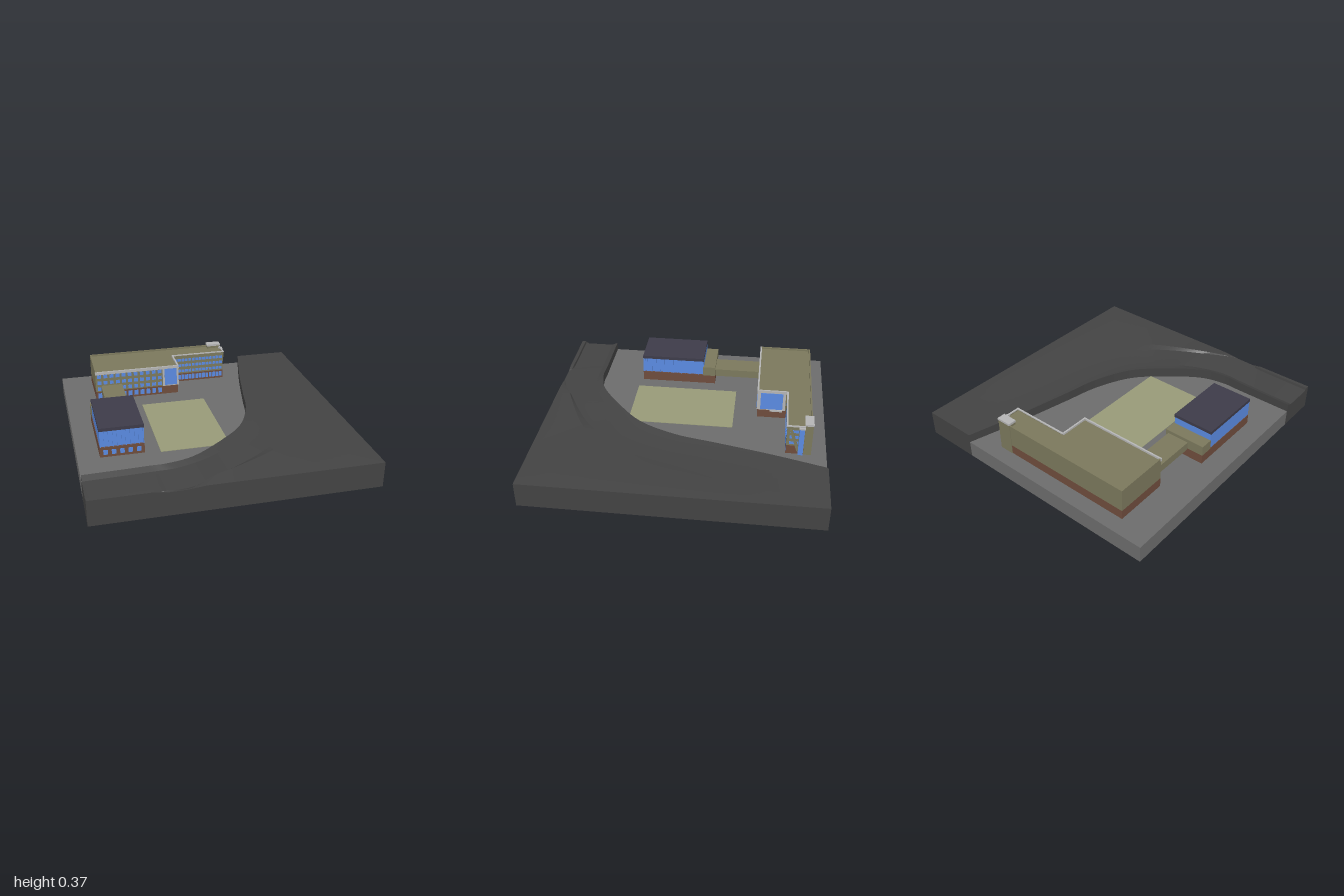
import * as THREE from 'three';
import { toCreasedNormals } from 'three/addons/utils/BufferGeometryUtils.js';

const mat = (color) => new THREE.MeshStandardMaterial({ color });
const M = {
  earth: mat(0x434343), ground: mat(0x6c6c6c), lawn: mat(0x979a78), wall: mat(0x7b785c),
  brick: mat(0x6e4c3c), glass: mat(0x5a8ae0), trim: mat(0xb4b4b4), slate: mat(0x3d3b49),
};
const GROUND = 0.12, FLOOR1 = 0.187, ROOF = 0.337, TOP = 0.35;

// Box given by its limits on each axis
function box(parent, name, material, x0, x1, y0, y1, z0, z1) {
  const m = new THREE.Mesh(new THREE.BoxGeometry(x1 - x0, y1 - y0, z1 - z0), material);
  m.position.set((x0 + x1) / 2, (y0 + y1) / 2, (z0 + z1) / 2);
  m.name = name;
  parent.add(m);
  return m;
}

// Plan outline [x, z] raised from y0 to y1
function prism(parent, name, material, outline, y0, y1) {
  const shape = new THREE.Shape(outline.map(([x, z]) => new THREE.Vector2(x, -z)));
  const geo = new THREE.ExtrudeGeometry(shape, { depth: y1 - y0, bevelEnabled: false });
  geo.rotateX(-Math.PI / 2);
  const m = new THREE.Mesh(geo, material);
  m.position.y = y0;
  m.name = name;
  parent.add(m);
}

// Rows of windows on a wall facing +z
function windowRows(parent, x0, x1, z, pitch, width, rows) {
  const n = Math.round((x1 - x0) / pitch);
  for (const [y, h] of rows) for (let i = 0; i < n; i++) {
    const x = x0 + (x1 - x0) * (i + 0.5) / n;
    box(parent, 'window', M.glass, x - width / 2, x + width / 2, y - h / 2, y + h / 2, z - 0.01, z + 0.002);
  }
}

// Plan stations across the bank: inner wall, road edge, outer road edge, plot edge, outer step
const STATIONS = [
  [-0.95, 0.70, -0.95, 0.745, -0.95, 0.97, -0.95, 1, 1],
  [-0.70, 0.70, -0.70, 0.745, -0.56, 0.97, -0.54, 1, 1],
  [-0.53, 0.70, -0.50, 0.745, -0.48, 0.985, -0.47, 1, 0],
  [-0.40, 0.70, -0.34, 0.74, -0.31, 0.985, -0.34, 1, 0],
  [-0.22, 0.65, -0.13, 0.665, -0.12, 0.89, -0.22, 1, 1],
  [0.00, 0.49, 0.06, 0.535, 0.20, 0.70, 0.45, 1, 1],
  [0.19, 0.30, 0.235, 0.36, 0.43, 0.48, 0.95, 1, 1],
  [0.31, 0.04, 0.36, 0.09, 0.60, 0.20, 0.95, 0.4, 1],
  [0.37, -0.24, 0.42, -0.20, 0.70, -0.10, 0.95, 0, 1],
  [0.45, -0.61, 0.49, -0.59, 0.80, -0.50, 0.95, -0.5, 1],
  [0.55, -1, 0.58, -1, 0.87, -1, 0.95, -1, 0.3],
];

function buildSite(parent) {
  const last = STATIONS.length - 1, sub = 8, N = last * sub;
  const path = (k) => new THREE.CatmullRomCurve3(
    STATIONS.map((s) => new THREE.Vector3(s[k], 0, s[k + 1])), false, 'catmullrom', 0.5);
  const [A, B, C] = [0, 2, 4].map(path);
  const lerpStation = (k, t) => {
    const i = Math.min(last - 1, Math.floor(t * last));
    return THREE.MathUtils.lerp(STATIONS[i][k], STATIONS[i + 1][k], t * last - i);
  };
  const pos = [], idx = [], inner = [], K = 7;
  for (let i = 0; i <= N; i++) {
    const t = i / N, bulge = 0.014 * Math.sin(Math.PI * t);
    const a = A.getPoint(t), b = B.getPoint(t), c = C.getPoint(t);
    const d = new THREE.Vector3(lerpStation(6, t), 0, lerpStation(7, t));
    const e = c.clone().lerp(d, 0.12);
    const road = 0.16 + 0.02 * t, lift = lerpStation(8, t);
    const edge = THREE.MathUtils.lerp(road, 0.178, lift);
    inner.push([a.x, a.z]);
    const ring = [[a, 0], [a, 0.18 + bulge], [b, road + bulge * 0.6], [c, road + bulge * 0.6],
      [e, edge + bulge * lift], [d, edge], [d, 0]];
    for (const [p, y] of ring) pos.push(p.x, y, Math.min(1, p.z));
  }
  for (let i = 0; i < N; i++) for (let j = 0; j < K; j++) {
    const p = i * K + j, q = i * K + (j + 1) % K;
    idx.push(p, q, p + K, q, q + K, p + K);
  }
  for (let k = 1; k < K - 1; k++) {
    idx.push(0, k + 1, k);
    idx.push(N * K, N * K + k, N * K + k + 1);
  }
  const geo = new THREE.BufferGeometry();
  geo.setAttribute('position', new THREE.Float32BufferAttribute(pos, 3));
  geo.setIndex(idx);
  const bank = new THREE.Mesh(toCreasedNormals(geo, 0.25), M.earth);
  bank.name = 'roadBank';
  parent.add(bank);

  prism(parent, 'ground', M.ground, [...inner, [-0.95, -1]], 0, GROUND);
  box(parent, 'lawn', M.lawn, -0.395, 0.085, GROUND - 0.01, GROUND + 0.003, -0.34, 0.42);
}

function buildMainBlock(parent) {
  const g = new THREE.Group();
  g.name = 'mainBlock';
  parent.add(g);
  const plan = [[-0.72, -0.51], [-0.08, -0.51], [-0.08, -0.72], [0.34, -0.72], [0.34, -0.89], [-0.72, -0.89]];
  prism(g, 'brickBase', M.brick, plan, GROUND, FLOOR1);
  prism(g, 'upperFloors', M.wall, plan, FLOOR1, ROOF);

  // Parapets: plain at the back, pale coping along the front
  const w = 0.01;
  box(g, 'parapet', M.wall, -0.72, 0.34, ROOF, TOP, -0.89, -0.89 + w);
  box(g, 'parapet', M.wall, -0.72, -0.72 + w, ROOF, TOP, -0.88, -0.51);
  box(g, 'coping', M.trim, -0.722, -0.075, 0.329, TOP, -0.515, -0.503);
  box(g, 'coping', M.trim, -0.085, -0.073, 0.329, TOP, -0.72, -0.503);
  box(g, 'coping', M.trim, -0.08, 0.345, 0.343, TOP, -0.726, -0.714);
  box(g, 'coping', M.trim, 0.335, 0.347, 0.343, TOP, -0.84, -0.714);
  box(g, 'parapet', M.wall, -0.08, 0.342, ROOF - 0.01, 0.343, -0.724, -0.714);
  box(g, 'parapet', M.wall, 0.335, 0.343, ROOF - 0.01, 0.343, -0.84, -0.714);

  // Windows
  const rows = [[0.311, 0.028], [0.26, 0.027], [0.21, 0.027], [0.155, 0.04]];
  windowRows(g, -0.715, -0.2, -0.51, 0.046, 0.03, rows);
  windowRows(g, -0.065, 0.335, -0.72, 0.029, 0.023, [[0.303, 0.022], [0.257, 0.022], [0.21, 0.022], [0.155, 0.04]]);

  // Framed glass corner
  box(g, 'cornerFrame', M.trim, -0.2, -0.075, FLOOR1, 0.332, -0.52, -0.506);
  box(g, 'cornerFrame', M.trim, -0.09, -0.074, FLOOR1, 0.332, -0.71, -0.506);
  box(g, 'cornerGlass', M.glass, -0.185, -0.09, 0.195, 0.33, -0.52, -0.503);
  box(g, 'cornerGlass', M.glass, -0.09, -0.07, 0.195, 0.33, -0.69, -0.53);
  box(g, 'entranceCanopy', M.trim, -0.08, -0.06, 0.182, 0.194, -0.69, -0.6);

  // Wing end: stair tower, glass slot and slanted brace
  box(g, 'stairTower', M.wall, 0.24, 0.345, GROUND, 0.355, -0.894, -0.84);
  box(g, 'towerCap', M.trim, 0.238, 0.347, 0.355, 0.37, -0.897, -0.837);
  box(g, 'stairGlass', M.glass, 0.33, 0.355, GROUND, 0.332, -0.838, -0.803);
  box(g, 'stairGlassCap', M.trim, 0.33, 0.36, 0.332, 0.342, -0.842, -0.8);
  for (const y of [0.303, 0.257, 0.21])
    box(g, 'endWindow', M.glass, 0.33, 0.342, y - 0.011, y + 0.011, -0.8, -0.74);
  const brace = box(g, 'slantedBrace', M.wall, 0.338, 0.352, 0.145, 0.325, -0.785, -0.765);
  brace.rotation.x = 0.33;
}

function buildHall(parent) {
  const g = new THREE.Group();
  g.name = 'hall';
  parent.add(g);
  box(g, 'linkBridge', M.wall, -0.68, -0.52, 0.178, 0.236, -0.515, -0.16);
  box(g, 'lobbyBase', M.brick, -0.8, -0.5, GROUND, FLOOR1, -0.165, -0.075);
  box(g, 'lobby', M.wall, -0.8, -0.5, FLOOR1, 0.26, -0.165, -0.07);
  box(g, 'hallBase', M.brick, -0.8, -0.5, GROUND, 0.192, -0.075, 0.4);
  box(g, 'hallGlass', M.glass, -0.797, -0.508, 0.192, 0.31, -0.075, 0.39);
  box(g, 'hallRoof', M.slate, -0.8, -0.5, 0.309, 0.332, -0.075, 0.4);

  // Upright fins on the front and the court side
  for (let i = 0; i <= 10; i++) {
    const x = -0.797 + i * 0.0289;
    box(g, 'frontFin', M.glass, x, x + 0.006, 0.192, 0.31, 0.385, 0.4);
  }
  for (let i = 0; i < 14; i++) {
    const z = -0.07 + i * 0.0335;
    box(g, 'sideFin', M.glass, -0.512, -0.502, 0.192, 0.31, z, z + 0.006);
  }
  windowRows(g, -0.79, -0.51, 0.4, 0.056, 0.03, [[0.155, 0.035]]);
}

export function createModel() {
  const model = new THREE.Group();
  model.name = 'campusSite';
  buildSite(model);
  buildMainBlock(model);
  buildHall(model);
  return model;
}
